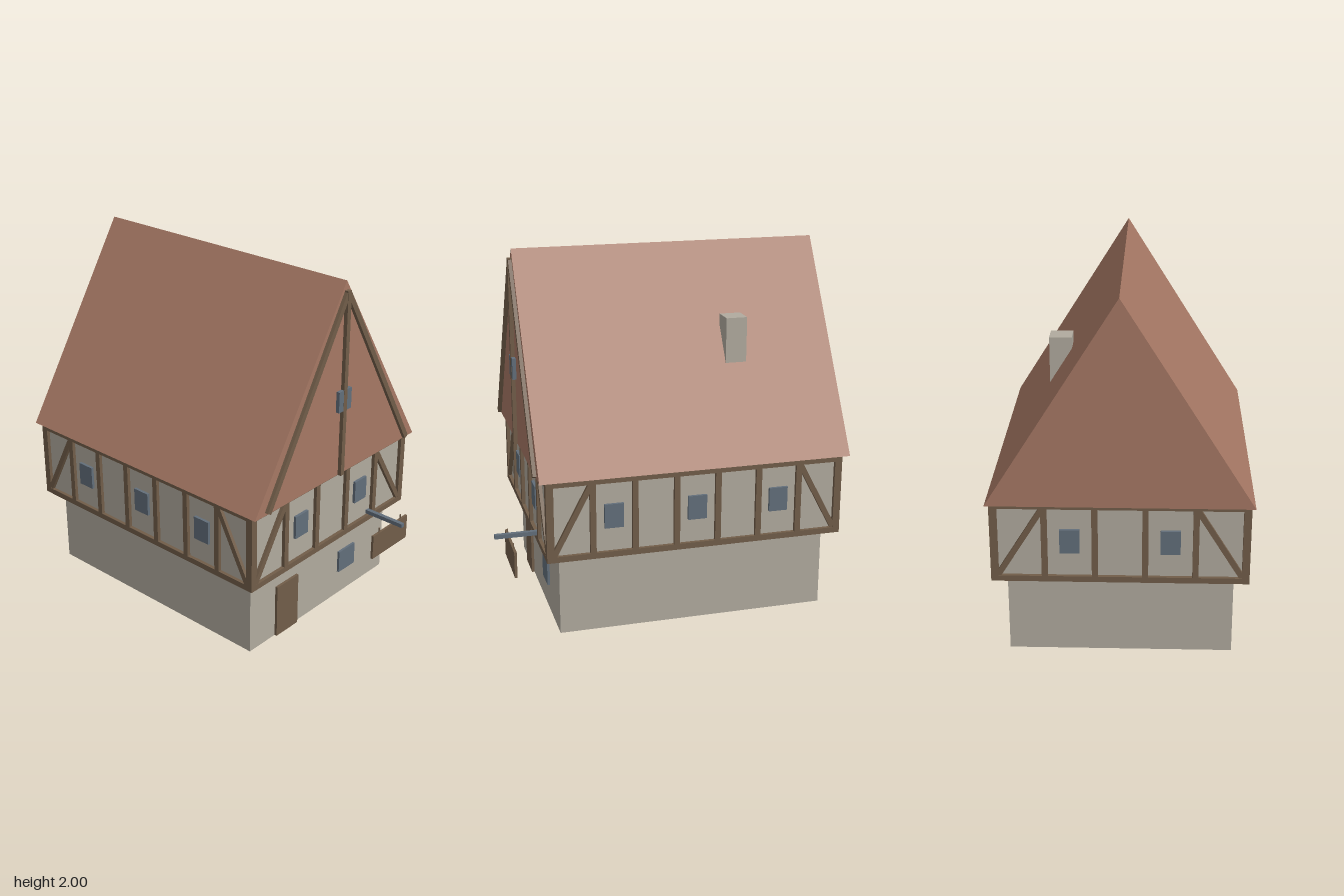
import * as THREE from 'three';

const mat = (name, color) => {
  const m = new THREE.MeshStandardMaterial({ color });
  m.name = name;
  return m;
};

export function createModel() {
  const plaster = mat('plaster', 0xb0aa9e);
  const wood = mat('timber', 0x715d49);
  const tile = mat('roof tile', 0xa67864);
  const glass = mat('window glass', 0x626e7a);

  const house = new THREE.Group();
  house.name = 'timberFramedHouse';
  const CZ = -0.097; // centre of the building, front to back

  // Box given by its limits on each axis
  const box = (parent, name, material, [x0, x1], [y0, y1], [z0, z1]) => {
    const mesh = new THREE.Mesh(new THREE.BoxGeometry(x1 - x0, y1 - y0, z1 - z0), material);
    mesh.position.set((x0 + x1) / 2, (y0 + y1) / 2, (z0 + z1) / 2);
    mesh.name = name;
    parent.add(mesh);
    return mesh;
  };

  // Slanted beam between two points of a vertical plane
  const beam = (parent, name, [ax, ay], [bx, by], width, z0, z1) => {
    const length = Math.hypot(bx - ax, by - ay);
    const mesh = new THREE.Mesh(new THREE.BoxGeometry(length, width, z1 - z0), wood);
    mesh.position.set((ax + bx) / 2, (ay + by) / 2, (z0 + z1) / 2);
    mesh.rotation.z = Math.atan2(by - ay, bx - ax);
    mesh.name = name;
    parent.add(mesh);
  };

  // Ground floor
  box(house, 'groundFloor', plaster, [-0.597, 0.597], [0, 0.46], [-0.845, 0.65]);
  box(house, 'door', wood, [-0.39, -0.21], [0, 0.317], [0.64, 0.665]);
  box(house, 'groundWindow', glass, [0.165, 0.31], [0.153, 0.287], [0.64, 0.664]);

  // Upper floor core with bottom and top rails
  const HX = 0.674, HZ = 0.823;
  box(house, 'upperFloor', plaster, [-HX + 0.02, HX - 0.02], [0.47, 0.89], [CZ - HZ + 0.02, CZ + HZ - 0.02]);
  box(house, 'bottomRail', wood, [-HX, HX], [0.45, 0.482], [CZ - HZ, CZ + HZ]);
  box(house, 'topRail', wood, [-HX, HX], [0.868, 0.9], [CZ - HZ, CZ + HZ]);
  for (const sx of [-1, 1]) for (const sz of [-1, 1]) {
    const x = sx * (HX - 0.02), z = CZ + sz * (HZ - 0.02);
    box(house, 'cornerPost', wood, [x - 0.02, x + 0.02], [0.47, 0.88], [z - 0.02, z + 0.02]);
  }

  // Posts, corner braces and windows of one upper wall, outer face at local z = 0
  const timberWall = (name, half, bays) => {
    const wall = new THREE.Group();
    wall.name = name;
    const inner = half - 0.02, bay = (2 * inner) / bays;
    for (let i = 1; i < bays; i++) {
      const x = -inner + i * bay;
      box(wall, 'post', wood, [x - 0.016, x + 0.016], [0.475, 0.875], [-0.03, 0]);
    }
    for (let i = 1; i < bays; i += 2) {
      if (i === bays - 1 && bays % 2 === 0) continue;
      const x = -inner + (i + 0.5) * bay;
      box(wall, 'window', glass, [x - 0.052, x + 0.052], [0.614, 0.748], [-0.03, -0.004]);
    }
    for (const s of [-1, 1]) {
      beam(wall, 'brace', [s * (inner - 0.018), 0.485], [s * (inner - bay + 0.01), 0.865], 0.03, -0.03, -0.001);
    }
    house.add(wall);
    return wall;
  };
  timberWall('frontWall', HX, 5).position.z = CZ + HZ;
  const back = timberWall('backWall', HX, 5);
  back.position.z = CZ - HZ;
  back.rotation.y = Math.PI;
  for (const s of [-1, 1]) {
    const side = timberWall(s > 0 ? 'leftWall' : 'rightWall', HZ, 7);
    side.position.set(s * HX, 0, CZ);
    side.rotation.y = s * Math.PI / 2;
  }

  // Steep gabled roof
  const gable = new THREE.Shape();
  gable.moveTo(-0.691, 0.9);
  gable.lineTo(0.691, 0.9);
  gable.lineTo(0, 2);
  const roof = new THREE.Mesh(
    new THREE.ExtrudeGeometry(gable, { depth: 1.717, bevelEnabled: false }), tile);
  roof.position.z = -0.957;
  roof.name = 'roof';
  house.add(roof);

  // Front gable timbers and attic window
  for (const s of [-1, 1]) beam(house, 'gableRafter', [s * 0.602, 0.912], [s * 0.004, 1.935], 0.03, 0.75, 0.78);
  box(house, 'gablePost', wood, [-0.014, 0.014], [0.9, 1.95], [0.75, 0.782]);
  box(house, 'atticWindow', glass, [-0.052, 0.052], [1.285, 1.404], [0.75, 0.781]);

  // Chimney
  box(house, 'chimney', plaster, [0.265, 0.384], [1.3, 1.637], [-0.453, -0.336]);

  // Hanging sign on its bracket
  box(house, 'signBracket', glass, [0.344, 0.368], [0.487, 0.51], [0.7, 0.957]);
  box(house, 'signBoard', wood, [0.192, 0.52], [0.318, 0.466], [0.862, 0.876]);
  for (const x of [0.253, 0.46]) {
    box(house, 'signHanger', wood, [x - 0.003, x + 0.003], [0.46, 0.495], [0.866, 0.872]);
  }

  return house;
}
